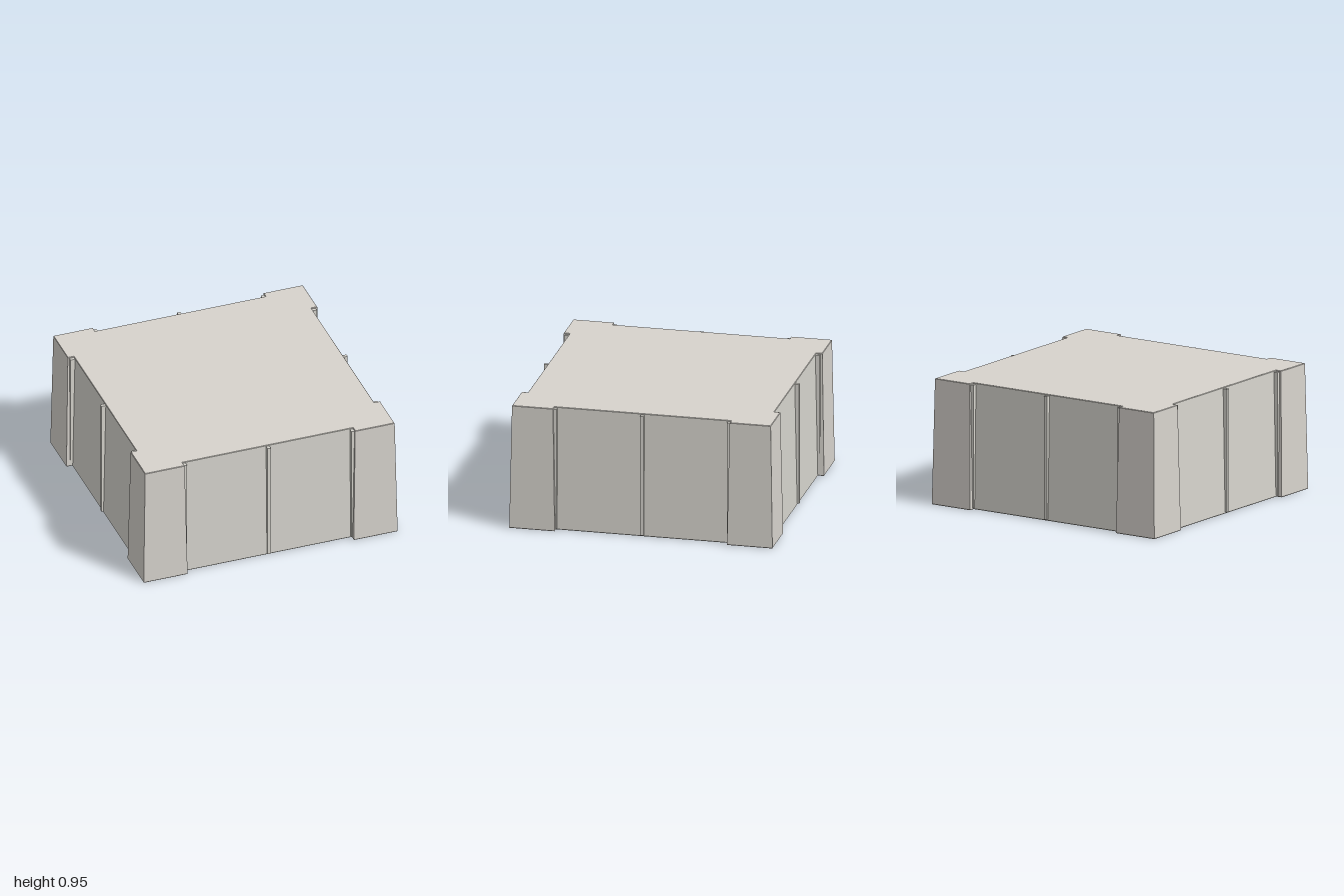
import * as THREE from 'three';

const stone = new THREE.MeshStandardMaterial({ color: 0xd7d3cd });
stone.name = 'warm stone';
const panelStone = new THREE.MeshStandardMaterial({ color: 0xd7d5ce });
panelStone.name = 'grey stone';

// Height, corner outer reach, corner inner edge, recessed panel reach
const levels = [
  [0, 0.997, 0.658, 0.951],
  [0.004, 1, 0.655, 0.954],
  [0.951, 0.983, 0.672, 0.936],
  [0.955, 0.98, 0.675, 0.933],
];

// Square outline with a projecting block at each corner, counter-clockwise in (x, -z)
function outline([, outer, inner, panel]) {
  const points = [];
  const quarter = [[panel, inner], [outer, inner], [outer, outer], [inner, outer], [inner, panel]];
  for (let q = 0; q < 4; q++) {
    for (const [x, y] of quarter) {
      const turned = [[x, y], [-y, x], [-x, -y], [y, -x]][q];
      points.push(new THREE.Vector2(...turned));
    }
  }
  return points;
}

// Quads between successive levels, for either the corner blocks or the panels
function wall(isPanel) {
  const positions = [];
  for (let l = 0; l < levels.length - 1; l++) {
    const low = outline(levels[l]);
    const high = outline(levels[l + 1]);
    for (let i = 0; i < low.length; i++) {
      if ((i % 5 === 4) !== isPanel) continue;
      const j = (i + 1) % low.length;
      const a = [low[i].x, levels[l][0], -low[i].y];
      const b = [low[j].x, levels[l][0], -low[j].y];
      const c = [high[j].x, levels[l + 1][0], -high[j].y];
      const d = [high[i].x, levels[l + 1][0], -high[i].y];
      positions.push(...a, ...b, ...c, ...a, ...c, ...d);
    }
  }
  const geometry = new THREE.BufferGeometry();
  geometry.setAttribute('position', new THREE.Float32BufferAttribute(positions, 3));
  geometry.computeVertexNormals();
  return geometry;
}

function add(parent, name, geometry, material) {
  const mesh = new THREE.Mesh(geometry, material);
  mesh.name = name;
  parent.add(mesh);
  return mesh;
}

export function createModel() {
  const model = new THREE.Group();
  model.name = 'stoneBlock';

  // Tapered walls
  add(model, 'cornerBlocks', wall(false), stone);
  add(model, 'wallPanels', wall(true), panelStone);

  // Flat roof and underside
  const top = levels[levels.length - 1];
  const roof = new THREE.ShapeGeometry(new THREE.Shape(outline(top)));
  add(model, 'roof', roof.rotateX(-Math.PI / 2).translate(0, top[0], 0), stone);
  const base = new THREE.ShapeGeometry(new THREE.Shape(outline(levels[0])));
  add(model, 'underside', base.rotateX(Math.PI / 2), stone);

  // Upright ribs: one mid-panel and one beside each corner block, on all sides
  for (let side = 0; side < 4; side++) {
    const ribs = new THREE.Group();
    ribs.name = 'ribs';
    ribs.rotation.y = side * Math.PI / 2;
    for (const x of [-0.66, 0, 0.66]) {
      const rib = add(ribs, 'rib', new THREE.BoxGeometry(0.026, 0.935, 0.04), panelStone);
      rib.position.set(x, 0.478, 0.95);
    }
    model.add(ribs);
  }
  return model;
}
